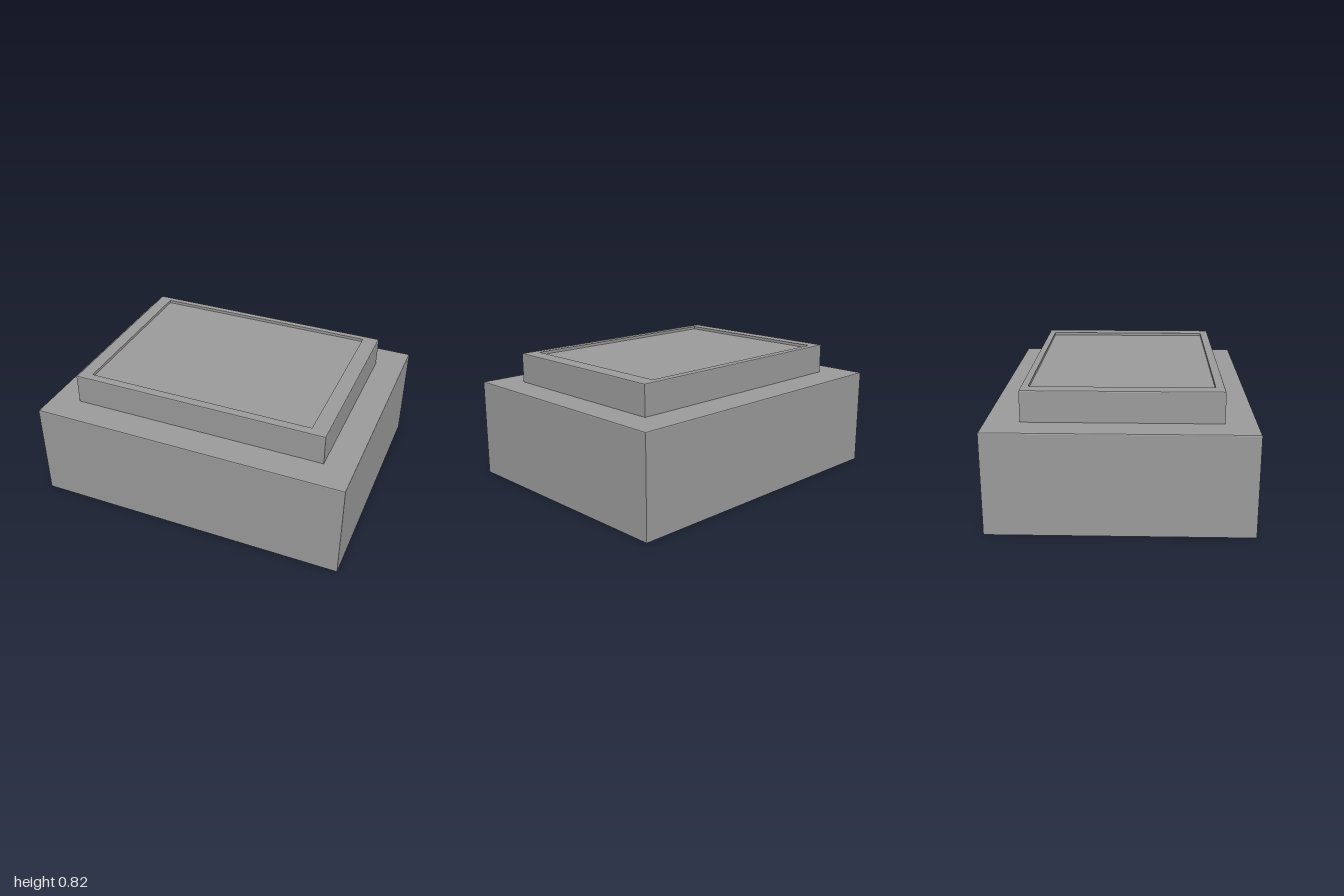
import * as THREE from 'three';

// Closed skin over rectangular rings [x0, x1, z0, z1, y], capped at both ends
function ringSolid(name, rings) {
  const pos = [];
  const loops = rings.map(([x0, x1, z0, z1, y]) => [[x0, y, z1], [x1, y, z1], [x1, y, z0], [x0, y, z0]]);
  const quad = (a, b, c, d) => pos.push(...a, ...b, ...c, ...a, ...c, ...d);
  for (let r = 0; r < loops.length - 1; r++) {
    const a = loops[r], b = loops[r + 1];
    for (let i = 0; i < 4; i++) {
      const j = (i + 1) % 4;
      quad(a[i], a[j], b[j], b[i]);
    }
  }
  quad(...[...loops[0]].reverse());
  quad(...loops[loops.length - 1]);
  const geo = new THREE.BufferGeometry();
  geo.setAttribute('position', new THREE.Float32BufferAttribute(pos, 3));
  geo.computeVertexNormals();
  const mesh = new THREE.Mesh(geo, new THREE.MeshStandardMaterial({ color: 0x9a9a9a }));
  mesh.name = name;
  return mesh;
}

// Rectangle moved inwards by d, at height y
const inset = ([x0, x1, z0, z1], d, y) => [x0 + d, x1 - d, z0 + d, z1 - d, y];

export function createModel() {
  const group = new THREE.Group();
  group.name = 'steppedBox';

  // Base block with a slightly eased top edge
  const base = [-1, 1, -0.789, 0.789], baseTop = 0.627, ease = 0.007;
  group.add(ringSolid('base', [
    inset(base, 0, 0),
    inset(base, 0, baseTop - ease),
    inset(base, ease * 0.3, baseTop - ease * 0.3),
    inset(base, ease, baseTop),
  ]));

  // Raised plinth with a shallow recessed panel in its top
  const plinth = [-0.815, 0.815, -0.581, 0.601], plinthTop = 0.818;
  const recess = [-0.73, 0.716, -0.537, 0.547];
  group.add(ringSolid('plinth', [
    inset(plinth, 0, baseTop - 0.01),
    inset(plinth, 0, plinthTop - ease),
    inset(plinth, ease * 0.3, plinthTop - ease * 0.3),
    inset(plinth, ease, plinthTop),
    inset(recess, 0, plinthTop),
    inset(recess, 0, plinthTop - 0.018),
  ]));
  return group;
}
